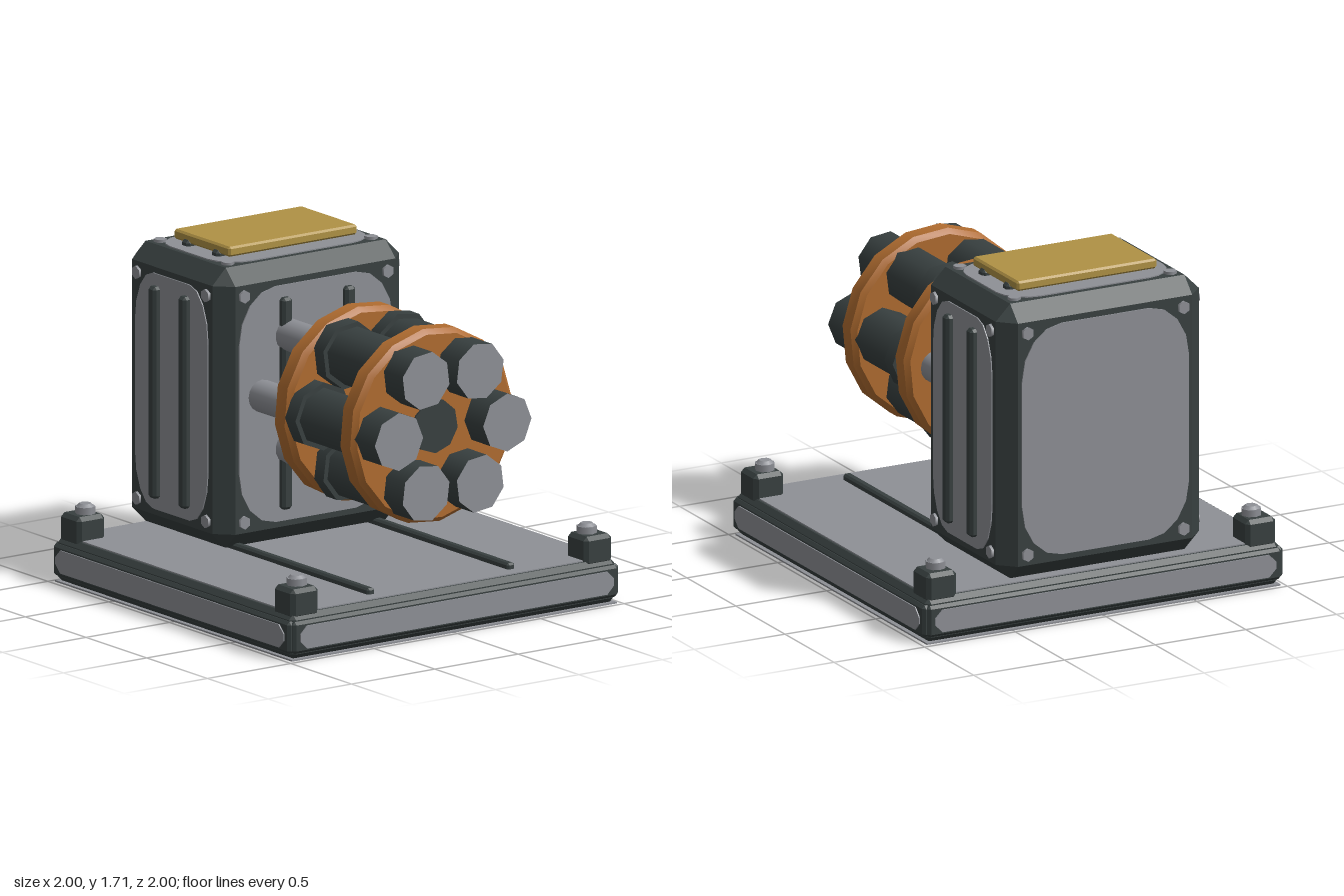
import * as THREE from 'three';
import { toCreasedNormals } from 'three/addons/utils/BufferGeometryUtils.js';
import { ConvexGeometry } from 'three/addons/geometries/ConvexGeometry.js';

const material = (name, color) => {
  const m = new THREE.MeshStandardMaterial({ color });
  m.name = name;
  return m;
};

// Box with every edge cut back by c
function chamferBox(w, h, d, c) {
  const pts = [];
  for (const sx of [-1, 1]) for (const sy of [-1, 1]) for (const sz of [-1, 1]) {
    const x = w / 2, y = h / 2, z = d / 2;
    pts.push(
      new THREE.Vector3(sx * x, sy * (y - c), sz * (z - c)),
      new THREE.Vector3(sx * (x - c), sy * y, sz * (z - c)),
      new THREE.Vector3(sx * (x - c), sy * (y - c), sz * z));
  }
  return new ConvexGeometry(pts);
}

// Thin plate facing +z with elliptical (segments > 1) or cut (segments = 1) corners
function plate(w, h, rx, ry, depth, segments = 4) {
  const s = new THREE.Shape();
  const x = w / 2 - rx, y = h / 2 - ry;
  [[x, y], [-x, y], [-x, -y], [x, -y]].forEach(([cx, cy], i) => {
    for (let k = 0; k <= segments; k++) {
      const a = (i + k / segments) * Math.PI / 2;
      const px = cx + rx * Math.cos(a), py = cy + ry * Math.sin(a);
      if (i + k === 0) s.moveTo(px, py); else s.lineTo(px, py);
    }
  });
  s.closePath();
  return new THREE.ExtrudeGeometry(s, { depth, bevelEnabled: false });
}

// Cylinder along z between z0 and z1
const rod = (r, z0, z1, sides) =>
  new THREE.CylinderGeometry(r, r, z1 - z0, sides).rotateX(Math.PI / 2).translate(0, 0, (z0 + z1) / 2);

export function createModel() {
  const dark = material('dark metal', 0x384040);
  const grey = material('light grey', 0x8e9096);
  const orange = material('orange', 0xb06c30);
  const gold = material('gold', 0xb09245);

  const model = new THREE.Group();
  const add = (parent, name, geometry, mat, x = 0, y = 0, z = 0) => {
    const m = new THREE.Mesh(geometry, mat);
    m.name = name;
    m.position.set(x, y, z);
    parent.add(m);
    return m;
  };
  const group = (parent, name) => {
    const g = new THREE.Group();
    g.name = name;
    parent.add(g);
    return g;
  };

  // Square base with grey skins on all sides
  const base = group(model, 'base');
  add(base, 'baseFrame', chamferBox(1.95, 0.22, 1.95, 0.025), dark, 0, 0.117);
  add(base, 'baseTop', new THREE.BoxGeometry(1.88, 0.008, 1.88), grey, 0, 0.229);
  add(base, 'baseBottom', new THREE.BoxGeometry(1.95, 0.008, 1.95), grey, 0, 0.004);
  for (let i = 0; i < 4; i++) {
    const side = group(base, 'baseSide');
    side.rotation.y = i * Math.PI / 2;
    add(side, 'sideBacking', chamferBox(1.95, 0.16, 0.05, 0.015), dark, 0, 0.117, 0.969);
    add(side, 'sidePanel', plate(1.88, 0.115, 0.04, 0.04, 0.006, 1), grey, 0, 0.117, 0.994);
  }
  for (const s of [-1, 1]) {
    add(base, 'baseRail', chamferBox(0.045, 0.045, 1.74, 0.01), dark, s * 0.42, 0.24);
    for (const t of [-1, 1]) {
      add(base, 'cornerBlock', chamferBox(0.165, 0.15, 0.165, 0.02), dark, s * 0.88, 0.275, t * 0.88);
      add(base, 'cornerBolt', new THREE.CylinderGeometry(0.05, 0.05, 0.04, 8), grey, s * 0.87, 0.365, t * 0.87);
      add(base, 'cornerBoltTip', new THREE.CylinderGeometry(0.03, 0.045, 0.015, 8), grey, s * 0.87, 0.392, t * 0.87);
    }
  }

  // Housing: chamfered box with a panel, bolts and ribs on each face
  const housing = group(model, 'housing');
  housing.position.set(0, 0.945, -0.58);
  add(housing, 'housingShell', chamferBox(1.12, 1.4, 0.82, 0.08), dark);

  // o: panel w, h, corner rx, ry; bolt offsets; rib positions, length and direction
  const face = (name, o, distance, rx, ry) => {
    const pivot = group(housing, name);
    pivot.rotation.set(rx, ry, 0);
    const f = group(pivot, name + 'Parts');
    f.position.z = distance;
    add(f, 'facePanel', plate(o.w, o.h, o.rx, o.ry, 0.006), grey);
    for (const sx of [-1, 1]) for (const sy of [-1, 1])
      add(f, 'faceBolt', rod(0.033, -0.01, 0.014, 6), grey, sx * o.bx, sy * o.by);
    for (const p of o.ribs || []) {
      if (o.across) add(f, 'faceRib', chamferBox(o.length, 0.06, 0.06, 0.014), dark, 0, p, 0.005);
      else add(f, 'faceRib', chamferBox(0.06, o.length, 0.06, 0.014), dark, p, 0, 0.01);
    }
  };
  const wide = { w: 0.92, h: 1.18, rx: 0.22, ry: 0.27, bx: 0.43, by: 0.565 };
  const narrow = { w: 0.6, h: 1.18, rx: 0.15, ry: 0.27, bx: 0.285, by: 0.565, ribs: [-0.123, 0.123], length: 1.06 };
  const lid = { w: 0.92, h: 0.6, rx: 0.16, ry: 0.15, bx: 0.43, by: 0.278, ribs: [-0.123, 0.123], length: 0.8, across: true };
  face('front', { ...wide, ribs: [-0.19, 0.19], length: 1.06 }, 0.41, 0, 0);
  face('back', wide, 0.41, 0, Math.PI);
  face('leftSide', narrow, 0.56, 0, Math.PI / 2);
  face('rightSide', narrow, 0.56, 0, -Math.PI / 2);
  face('top', lid, 0.7, -Math.PI / 2, 0);
  add(housing, 'topPlate', chamferBox(0.77, 0.05, 0.46, 0.01), gold, 0, 0.742, 0);

  // Drum: six barrels on rods held by two rings
  const drum = group(model, 'drum');
  drum.position.y = 1.0;
  const ringProfile = [[0, -0.065], [0.465, -0.065], [0.49, -0.04], [0.49, 0.04], [0.465, 0.065], [0, 0.065]]
    .map(([x, y]) => new THREE.Vector2(x, y));
  const ring = toCreasedNormals(new THREE.LatheGeometry(ringProfile, 16).rotateX(Math.PI / 2), 0.6);
  for (const z of [0.205, 0.745])
    add(drum, 'drumRing', ring, orange, 0, 0, z).rotation.z = 0.1;
  add(drum, 'centreShaft', rod(0.135, -0.16, 0.82, 9), dark);
  add(drum, 'shaftCollar', rod(0.175, -0.11, -0.05, 12), dark);
  for (let i = 0; i < 6; i++) {
    const arm = group(drum, 'barrelArm');
    arm.rotation.z = i * Math.PI / 3;
    add(arm, 'barrel', rod(0.145, 0.26, 0.965, 8), [dark, grey, dark], 0.325);
    add(arm, 'barrelCollar', rod(0.17, 0.26, 0.345, 8), dark, 0.325);
    add(arm, 'supportRod', rod(0.08, -0.18, 0.15, 16), grey, 0.325);
  }
  return model;
}
